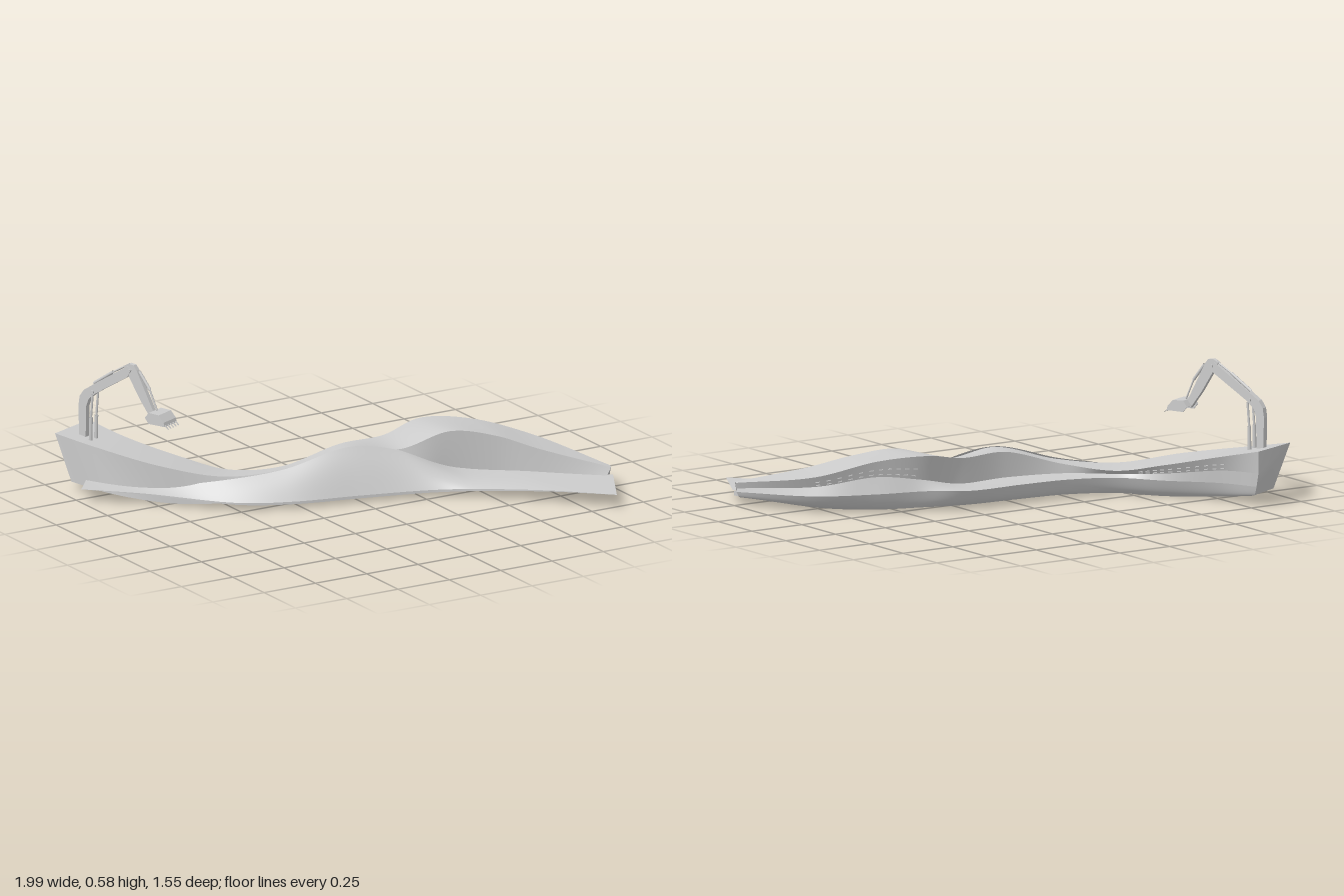
import * as THREE from 'three';

const grey = new THREE.MeshStandardMaterial({ color: 0xcccccc, side: THREE.DoubleSide });
const V = (p) => new THREE.Vector3(...p);
const rail = (pts) => new THREE.CatmullRomCurve3(pts.map(V), false, 'centripetal');

function add(group, name, geometry) {
  const mesh = new THREE.Mesh(geometry, grey);
  mesh.name = name;
  group.add(mesh);
  return mesh;
}

// Smooth sheet spanned between two rails; bend(u, t) gives a vertical offset
function sheet(a, b, bend = () => 0, n = 100, m = 10) {
  const pos = [], idx = [];
  for (let i = 0; i <= n; i++) {
    const t = i / n, p = a.getPoint(t), q = b.getPoint(t);
    for (let j = 0; j <= m; j++) {
      const u = j / m, r = p.clone().lerp(q, u);
      pos.push(r.x, r.y + bend(u, t), r.z);
      if (i < n && j < m) {
        const k = i * (m + 1) + j, l = k + m + 1;
        idx.push(k, k + 1, l, k + 1, l + 1, l);
      }
    }
  }
  const g = new THREE.BufferGeometry();
  g.setAttribute('position', new THREE.Float32BufferAttribute(pos, 3));
  g.setIndex(idx);
  g.computeVertexNormals();
  return g;
}

// Fan over a ring of corners
function cap(points) {
  const g = new THREE.BufferGeometry().setFromPoints(points);
  const idx = [];
  for (let i = 1; i < points.length - 1; i++) idx.push(0, i, i + 1);
  g.setIndex(idx);
  g.computeVertexNormals();
  return g;
}

// Flat profile given thickness and centred on z
function plate(points, width) {
  const s = new THREE.Shape(points.map((p) => new THREE.Vector2(...p)));
  return new THREE.ExtrudeGeometry(s, { depth: width, bevelEnabled: false }).translate(0, 0, -width / 2);
}

function rod(x1, y1, x2, y2, z, r) {
  const a = new THREE.Vector3(x1, y1, z), b = new THREE.Vector3(x2, y2, z);
  return new THREE.TubeGeometry(new THREE.LineCurve3(a, b), 1, r, 8);
}

function buildBody() {
  const body = new THREE.Group();
  body.name = 'mainBody';
  const frontTop = rail([[-.99, .245, -.685], [-.9, .215, -.53], [-.72, .165, -.28], [-.5, .125, -.13], [-.26, .15, -.025],
    [0, .218, .042], [.22, .185, .087], [.43, .243, .14], [.6, .218, .22], [.75, .165, .335], [.98, .1, .525]]);
  const backTop = rail([[-.77, .245, -.775], [-.7, .205, -.61], [-.555, .15, -.395], [-.42, .115, -.235], [-.25, .14, -.09],
    [0, .21, -.04], [.22, .21, -.05], [.42, .245, -.08], [.62, .23, 0], [.83, .165, .14], [.99, .1, .5]]);
  // Recessed line under the roof overhang, inner edge of the ledge in the middle
  const backNeck = rail([[-.778, .15, -.762], [-.717, .14, -.585], [-.57, .11, -.375], [-.435, .098, -.22], [-.25, .1, -.09],
    [0, .1, -.03], [.23, .1, -.035], [.43, .14, -.045], [.61, .16, .02], [.81, .12, .155], [.982, .075, .505]]);
  const backWaist = rail([[-.78, .09, -.745], [-.72, .085, -.575], [-.57, .08, -.38], [-.42, .085, -.232], [-.22, .09, -.175],
    [0, .09, -.155], [.25, .09, -.148], [.42, .095, -.075], [.615, .09, .005], [.82, .08, .15], [.985, .06, .505]]);
  const backFoot = rail([[-.79, .045, -.705], [-.74, .02, -.54], [-.6, .005, -.34], [-.45, .012, -.2], [-.24, .02, -.14],
    [0, .02, -.11], [.24, .02, -.09], [.43, .02, -.03], [.6, .015, .06], [.78, .02, .2], [.96, .04, .5]]);
  const frontFoot = rail([[-.95, .045, -.62], [-.85, .02, -.45], [-.68, .005, -.25], [-.48, .015, -.1], [-.26, .03, .03],
    [0, .03, .1], [.25, .03, .14], [.43, .03, .14], [.6, .03, .21], [.74, .03, .325], [.95, .04, .52]]);
  const ring = [frontTop, backTop, backNeck, backWaist, backFoot, frontFoot];
  const names = ['roof', 'backWall', 'ledge', 'lowerHull', 'underside', 'frontWall'];
  const belly = (u) => -.012 * Math.sin(Math.PI * u);
  ring.forEach((r, i) => add(body, names[i], sheet(r, ring[(i + 1) % 6], names[i] === 'lowerHull' ? belly : undefined)));
  for (const t of [0, 1]) add(body, t ? 'slimEnd' : 'sternWall', cap(ring.map((r) => r.getPoint(t))));

  // Rows of slit windows along the back wall
  for (const u of [.55, .85]) {
    for (let i = 0; i < 22; i++) {
      const t = i < 11 ? .1 + i * .015 : .72 + (i - 11) * .018;
      const at = (s) => backTop.getPoint(s).lerp(backNeck.getPoint(s), u);
      const pane = add(body, 'slitWindow', new THREE.BoxGeometry(.004, .004, .018));
      pane.position.copy(at(t));
      pane.lookAt(at(t + .005));
    }
  }
  return body;
}

function buildRibbon() {
  const ribbon = new THREE.Group();
  ribbon.name = 'waveRibbon';
  const front = rail([[-1, .063, -.46], [-.79, .055, -.29], [-.5, .037, -.03], [-.29, .035, .07], [0, .035, .145],
    [.3, .037, .245], [.46, .045, .36], [.67, .06, .57], [.858, .065, .772]]);
  const crest = rail([[-.89, .063, -.59], [-.77, .065, -.36], [-.53, .11, -.135], [-.28, .15, -.02], [0, .22, .045],
    [.22, .18, .088], [.45, .085, .14], [.7, .067, .295], [.99, .065, .525]]);
  const swell = (u, t) => .015 * Math.sin(Math.PI * u) * Math.sin(Math.PI * t) ** 4;
  add(ribbon, 'waveFacade', sheet(front, crest, swell));
  // Narrow skirt below the front edge, fading out at both ends
  const lower = rail(front.points.map((p, i) => [p.x, p.y - .012 * Math.sin(Math.PI * i / 8), p.z]));
  add(ribbon, 'frontSkirt', sheet(front, lower, undefined, 100, 1));
  // Plinth under the flat end
  const plinth = add(ribbon, 'plinth', plate([[.74, -.4], [.76, -.57], [.82, -.61], [.98, -.53], [.93, -.46]], .02));
  plinth.rotation.x = -Math.PI / 2;
  plinth.position.y = .05;
  return ribbon;
}

function buildArm() {
  const arm = new THREE.Group();
  arm.name = 'diggerArm';
  add(arm, 'boom', plate([[-.022, .2], [-.026, .36], [-.02, .4], [0, .43], [.06, .47], [.22, .572], [.24, .56],
    [.22, .525], [.06, .425], [.025, .395], [.013, .36], [.01, .2]], .026));
  add(arm, 'stick', plate([[.2, .57], [.225, .583], [.25, .58], [.265, .56], [.355, .385], [.335, .365], [.28, .44]], .02));
  // Hydraulic cylinders
  for (const z of [-.02, .02]) {
    add(arm, 'liftCylinder', rod(.04, .2, .042, .32, z, .008));
    add(arm, 'liftPiston', rod(.042, .32, .05, .42, z, .005));
  }
  add(arm, 'stickCylinder', rod(.045, .465, .14, .53, 0, .007));
  add(arm, 'stickPiston', rod(.14, .53, .225, .58, 0, .004));
  add(arm, 'bucketCylinder', rod(.272, .555, .325, .485, 0, .007));
  add(arm, 'bucketPiston', rod(.325, .485, .362, .4, 0, .004));
  // Pivot pins
  for (const [x, y] of [[.23, .555], [.345, .38], [.045, .43]]) {
    const pin = add(arm, 'pivotPin', new THREE.CylinderGeometry(.008, .008, .04, 12));
    pin.rotation.x = Math.PI / 2;
    pin.position.set(x, y, 0);
  }
  // Bucket: back shell, two cheeks and teeth
  add(arm, 'bucketShell', plate([[.33, .375], [.35, .4], [.4, .398], [.425, .37], [.43, .352], [.415, .368],
    [.395, .388], [.355, .388], [.342, .37]], .09));
  for (const z of [-.043, .043]) {
    const cheek = add(arm, 'bucketCheek', plate([[.33, .375], [.35, .4], [.4, .398], [.43, .352], [.35, .352]], .004));
    cheek.position.z = z;
  }
  for (let i = 0; i < 5; i++) {
    const tooth = add(arm, 'bucketTooth', plate([[.42, .362], [.43, .357], [.445, .342]], .008));
    tooth.position.z = -.038 + i * .019;
  }
  arm.position.set(-.87, 0, -.64);
  arm.rotation.y = -1.148;
  return arm;
}

export function createModel() {
  const model = new THREE.Group();
  model.name = 'waveBuilding';
  model.add(buildBody(), buildRibbon(), buildArm());
  return model;
}
